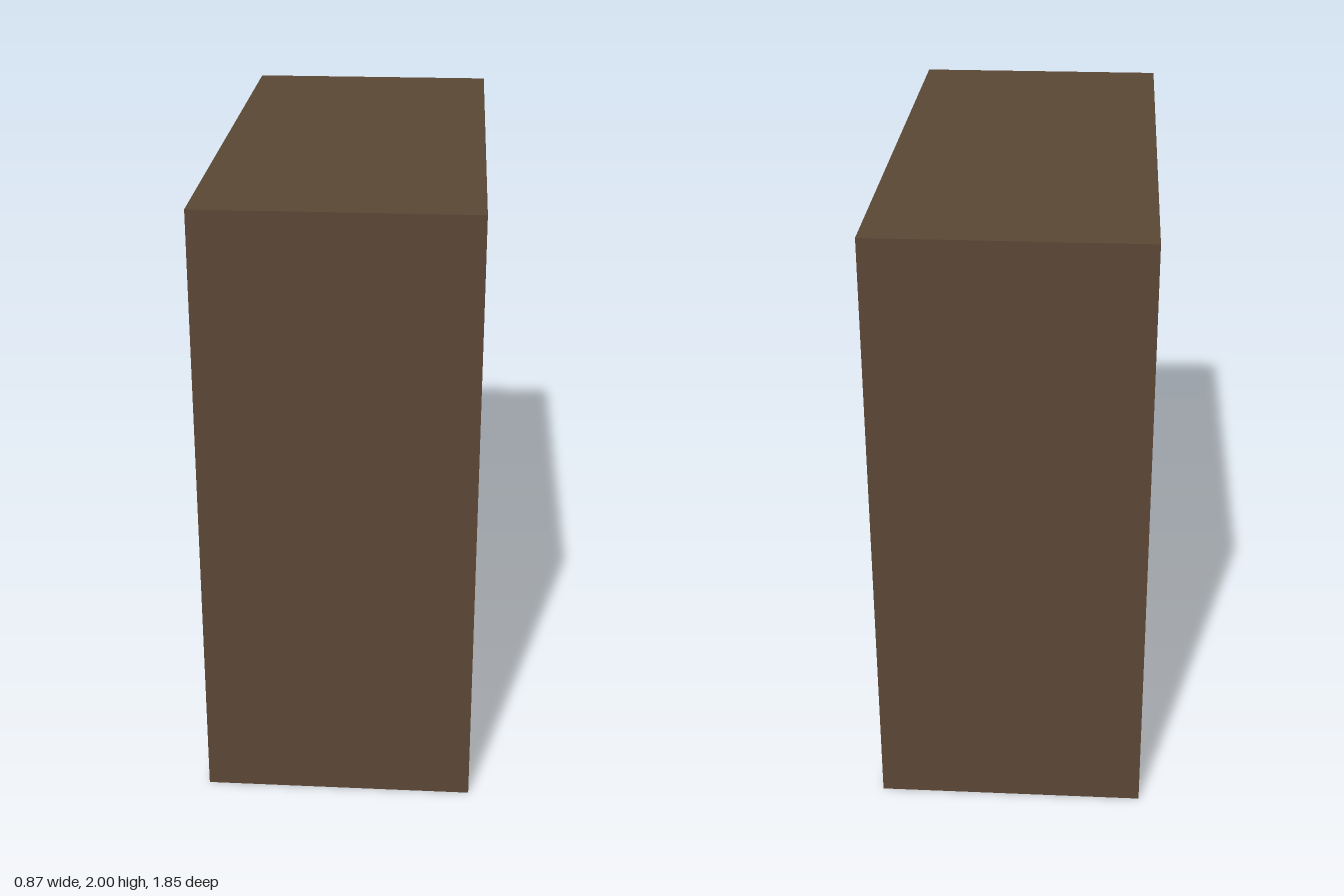
import * as THREE from 'three';

const WIDTH = 0.87, HEIGHT = 2, LENGTH = 1.85, BACK = 0.04;

// Adds a rectangle given by its centre and size to a shape or path
function rectangle(path, cx, cy, w, h) {
  path.moveTo(cx - w / 2, cy - h / 2);
  path.lineTo(cx + w / 2, cy - h / 2);
  path.lineTo(cx + w / 2, cy + h / 2);
  path.lineTo(cx - w / 2, cy + h / 2);
  path.closePath();
  return path;
}

export function createModel() {
  const group = new THREE.Group();
  group.name = 'cubbyShelf';

  const wood = new THREE.MeshStandardMaterial({ color: 0x5c4836 });
  wood.name = 'dark brown wood';

  // Frame with two columns and three rows of compartments, open towards +x
  const outline = rectangle(new THREE.Shape(), 0, HEIGHT / 2, LENGTH, HEIGHT);
  for (const column of [-0.465, 0.465]) {
    for (const row of [0.335, 1.003, 1.67]) {
      outline.holes.push(rectangle(new THREE.Path(), column, row, 0.84, 0.46));
    }
  }
  const frameGeometry = new THREE.ExtrudeGeometry(outline, { depth: WIDTH - BACK, bevelEnabled: false });
  frameGeometry.rotateY(Math.PI / 2);
  frameGeometry.translate(-WIDTH / 2 + BACK, 0, 0);
  const frame = new THREE.Mesh(frameGeometry, wood);
  frame.name = 'compartmentFrame';

  // Panel closing the compartments on the -x side
  const panel = new THREE.Mesh(new THREE.BoxGeometry(BACK, HEIGHT, LENGTH), wood);
  panel.position.set(-WIDTH / 2 + BACK / 2, HEIGHT / 2, 0);
  panel.name = 'backPanel';

  group.add(frame, panel);
  return group;
}
